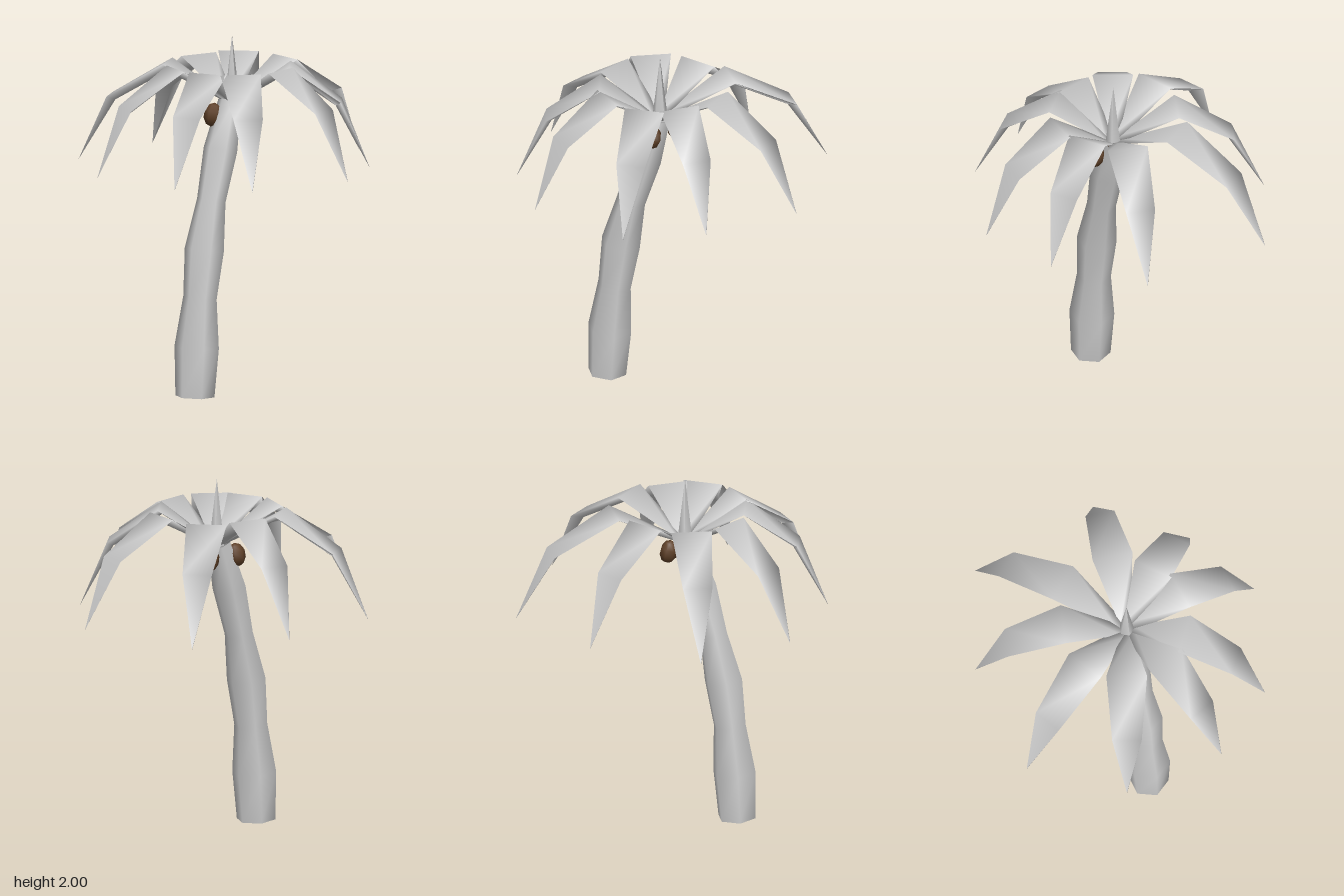
import * as THREE from 'three';

const grey = new THREE.MeshStandardMaterial({ color: 0xcccccc, side: THREE.DoubleSide });
grey.name = 'pale grey';
const brown = new THREE.MeshStandardMaterial({ color: 0x5f4027 });
brown.name = 'coconut brown';

// Skin a list of closed rings (each an array of [x, y, z]) with smooth normals
function loft(rings) {
  const n = rings[0].length;
  const index = [];
  for (let i = 0; i < rings.length - 1; i++) {
    for (let j = 0; j < n; j++) {
      const a = i * n + j, b = i * n + (j + 1) % n;
      index.push(a, b, b + n, a, b + n, a + n);
    }
  }
  const geometry = new THREE.BufferGeometry();
  geometry.setAttribute('position', new THREE.Float32BufferAttribute(rings.flat(2), 3));
  geometry.setIndex(index);
  geometry.computeVertexNormals();
  return geometry;
}

// Leaning hexagonal trunk, alternately swelling and narrowing: [y, z, radius, tilt]
function trunkGeometry() {
  const sections = [
    [0.005, 0.36, 0.11, 0.005], [0.28, 0.345, 0.125, 0.01], [0.555, 0.317, 0.094, 0.015],
    [0.82, 0.28, 0.11, 0.02], [1.09, 0.22, 0.08, 0.02], [1.365, 0.142, 0.094, 0.025],
    [1.63, 0.06, 0.065, 0.02],
  ];
  return loft(sections.map(([y, z, r, tilt]) => Array.from({ length: 6 }, (_, i) => {
    const a = i * Math.PI / 3;
    return [-0.006 + r * Math.sin(a), y + tilt * Math.cos(a), z + r * Math.cos(a)];
  })));
}

// Drooping leaf with a flat top and a ridge underneath, running to a tip
const crownZ = 0.05;
function leafGeometry(tipX, tipZ) {
  const length = Math.hypot(tipX, tipZ - crownZ);
  const dx = tipX / length, dz = (tipZ - crownZ) / length;
  // [distance along leaf, height, half width, ridge setback, ridge drop]
  const rows = [
    [0.03, 1.64, 0.03, 0, 0.02], [0.42 * length, 1.835, 0.113, 0.015, 0.045],
    [0.795 * length, 1.635, 0.082, 0.03, 0.03], [length, 1.26, 0.001, 0, 0.001],
  ];
  const at = (r, side, y) => [dx * r + dz * side, y, crownZ + dz * r - dx * side];
  return loft(rows.map(([r, y, w, back, drop]) =>
    [at(r, w, y), at(r, -w, y), at(r - back, 0, y - drop)]));
}

export function createModel() {
  const tree = new THREE.Group();
  tree.name = 'palmTree';
  const add = (name, geometry, material, x = 0, y = 0, z = 0) => {
    const mesh = new THREE.Mesh(geometry, material);
    mesh.name = name;
    mesh.position.set(x, y, z);
    tree.add(mesh);
    return mesh;
  };

  add('trunk', trunkGeometry(), grey);

  // Ring of leaves, given by tip position on the ground plane
  const tips = [
    [0.80, 0], [0.60, -0.42], [0.19, -0.81], [-0.56, -0.74], [-0.80, -0.21],
    [-0.785, 0.44], [-0.34, 0.80], [0.23, 0.81], [0.60, 0.58],
  ];
  tips.forEach(([x, z], i) => add(`leaf${i + 1}`, leafGeometry(x, z), grey));

  // Upright young shoot in the middle of the crown
  add('shoot', new THREE.ConeGeometry(0.045, 0.38, 5), grey, 0, 1.81, crownZ);

  // Coconuts hanging around the top of the trunk, leaning in towards it
  const nut = new THREE.SphereGeometry(1, 7, 5);
  nut.scale(0.052, 0.068, 0.052);
  [[-0.055, 0.15], [0.105, 0.06], [-0.03, -0.035]].forEach(([x, z], i) => {
    const mesh = add(`coconut${i + 1}`, nut, brown, x, 1.557, z);
    mesh.rotation.set(-(z - 0.08) * 2, 0, x * 2);
  });

  return tree;
}
